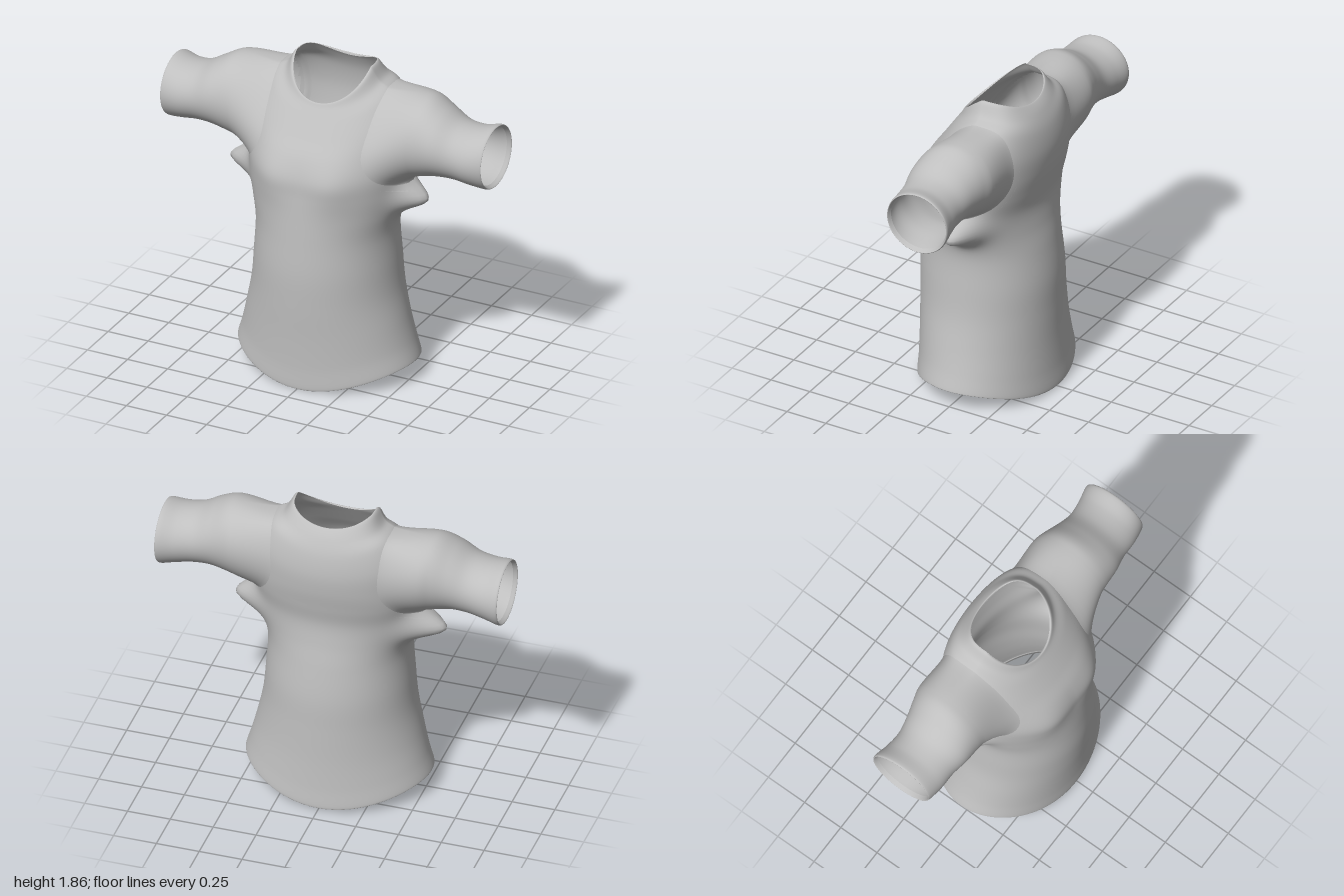
import * as THREE from 'three';

const fabric = new THREE.MeshStandardMaterial({ color: 0xbfbfbf, side: THREE.DoubleSide });
fabric.name = 'grey fabric';

// Torso rings, hem to neck: half width, front z, back z, centre z, y at side, y at front, y at back
const TORSO = [
  [0.515, 0.37, -0.385, -0.01, 0.15, 0.04, 0.05],
  [0.535, 0.39, -0.41, -0.01, 0.12, 0.00, 0.01],
  [0.505, 0.39, -0.40, -0.01, 0.22, 0.13, 0.13],
  [0.47, 0.395, -0.39, 0, 0.36, 0.30, 0.30],
  [0.435, 0.405, -0.385, 0, 0.53, 0.50, 0.50],
  [0.418, 0.41, -0.38, 0, 0.71, 0.70, 0.70],
  [0.408, 0.40, -0.355, 0, 0.90, 0.90, 0.90],
  [0.43, 0.39, -0.33, 0, 1.05, 1.05, 1.05],
  [0.45, 0.38, -0.32, 0, 1.19, 1.18, 1.18],
  [0.46, 0.37, -0.34, -0.01, 1.32, 1.29, 1.30],
  [0.45, 0.33, -0.36, -0.03, 1.45, 1.40, 1.42],
  [0.43, 0.265, -0.365, -0.05, 1.60, 1.50, 1.54],
  [0.36, 0.205, -0.345, -0.07, 1.735, 1.59, 1.66],
  [0.285, 0.165, -0.305, -0.07, 1.785, 1.65, 1.75],
  [0.245, 0.15, -0.265, -0.06, 1.85, 1.675, 1.80],
  [0.23, 0.14, -0.255, -0.06, 1.86, 1.67, 1.79],
];
const LAST_RING = TORSO.length - 1;

// Sleeve rings, upper arm to cuff: x, bottom y, top y, back z, front z, backward lean
const SLEEVE = [
  [0.54, 1.27, 1.757, -0.305, 0.16, 0.10],
  [0.61, 1.29, 1.75, -0.288, 0.155, 0.07],
  [0.70, 1.31, 1.705, -0.265, 0.15, 0.03],
  [0.80, 1.31, 1.65, -0.25, 0.13, 0],
  [0.90, 1.295, 1.635, -0.262, 0.125, 0],
  [0.99, 1.28, 1.65, -0.28, 0.11, 0],
  [1.00, 1.285, 1.645, -0.275, 0.105, 0],
  [0.975, 1.30, 1.635, -0.262, 0.095, 0],
];

// Armhole, an oval on the torso: middle ring, reach in rings, reach in radians
const ARMHOLE = { ring: 10.3, rings: 2, angle: 0.8 };

// Catmull-Rom blend of every column of the torso table at a fractional ring
function torsoRing(f) {
  const i = Math.min(Math.floor(f), LAST_RING - 1);
  const u = f - i;
  const row = (k) => TORSO[THREE.MathUtils.clamp(k, 0, LAST_RING)];
  return row(i).map((p1, c) => {
    const p0 = row(i - 1)[c], p2 = row(i + 1)[c], p3 = row(i + 2)[c];
    return 0.5 * (2 * p1 + (p2 - p0) * u + (2 * p0 - 5 * p1 + 4 * p2 - p3) * u * u
      + (3 * p1 - p0 - 3 * p2 + p3) * u * u * u);
  });
}

function torsoPoint(f, angle) {
  const [w, front, back, cz, ySide, yFront, yBack] = torsoRing(f);
  const s = Math.sin(angle);
  const depth = Math.abs(s);
  let x = w * Math.cos(angle);
  let y, z;
  if (s > 0) {
    y = ySide + (yFront - ySide) * Math.pow(depth, ySide > 1 ? 1.2 : 2.5);
    // soft swell on each side of the chest
    const swell = Math.exp(-(((Math.abs(x) - 0.2) / 0.13) ** 2) - ((y - 1.27) / 0.15) ** 2);
    z = cz + (front - cz) * depth + 0.025 * swell;
  } else {
    // the back gets broader and flatter towards the shoulders
    const fullness = 1 - 0.4 * THREE.MathUtils.smoothstep(ySide, 0.9, 1.4);
    y = ySide + (yBack - ySide) * Math.pow(depth, 2.5);
    z = cz + (back - cz) * Math.pow(depth, fullness);
  }
  // bunched cloth under each arm
  const bunch = Math.exp(-(((y - 1.14) / 0.085) ** 2) - ((z + 0.05) / 0.11) ** 2);
  x += bunch * (x > 0 ? 0.155 : -0.195);
  y -= bunch * 0.02;
  return new THREE.Vector3(x, y, z);
}

function sleevePoint([x, bottom, top, back, front, lean], angle, side) {
  const up = (Math.sin(angle) * (top - bottom)) / 2;
  const z = (front + back) / 2 + (Math.cos(angle) * (front - back)) / 2 - lean * up;
  return new THREE.Vector3(side * x, (top + bottom) / 2 + up, z);
}

// Point on the torso on the armhole oval, enlarged by scale
function armholePoint(angle, scale, side) {
  const around = ARMHOLE.angle * scale * Math.cos(angle);
  const f = ARMHOLE.ring + ARMHOLE.rings * scale * Math.sin(angle);
  return torsoPoint(f, side > 0 ? around : Math.PI - around);
}

function insideArmhole(f, angle) {
  const around = Math.asin(Math.abs(Math.sin(angle)));
  return Math.hypot(around / ARMHOLE.angle, (f - ARMHOLE.ring) / ARMHOLE.rings) < 0.93;
}

// Closed tube from columns of points, leaving out the faces that skip() rejects
function tube(columns, flip, skip = () => false) {
  const segments = columns.length;
  const rows = columns[0].length;
  const index = [];
  for (let j = 0; j < segments; j++) {
    for (let i = 0; i < rows - 1; i++) {
      if (skip(i + 0.5, j + 0.5)) continue;
      const a = j * rows + i, b = ((j + 1) % segments) * rows + i;
      if (flip) index.push(a, b, a + 1, b, b + 1, a + 1);
      else index.push(a, a + 1, b, b, a + 1, b + 1);
    }
  }
  const geometry = new THREE.BufferGeometry().setFromPoints(columns.flat());
  geometry.setIndex(index);
  geometry.computeVertexNormals();
  return geometry;
}

function torsoGeometry() {
  const segments = 112, perRing = 7;
  const turn = (j) => (j / segments) * Math.PI * 2;
  const columns = Array.from({ length: segments }, (_, j) =>
    Array.from({ length: LAST_RING * perRing + 1 }, (_, i) => torsoPoint(i / perRing, turn(j))));
  return tube(columns, false, (i, j) => insideArmhole(i / perRing, turn(j)));
}

// The sleeve grows smoothly out of the torso wall around the armhole
function sleeveGeometry(side) {
  const segments = 72;
  const columns = Array.from({ length: segments }, (_, j) => {
    const angle = (j / segments) * Math.PI * 2;
    const path = [1.14, 1].map((scale) => armholePoint(angle, scale, side));
    path.push(...SLEEVE.map((ring) => sleevePoint(ring, angle, side)));
    return new THREE.CatmullRomCurve3(path).getPoints((path.length - 1) * 6);
  });
  return tube(columns, side < 0);
}

export function createModel() {
  const shirt = new THREE.Group();
  shirt.name = 'shirt';
  const add = (name, geometry) => {
    const mesh = new THREE.Mesh(geometry, fabric);
    mesh.name = name;
    shirt.add(mesh);
  };
  add('torso', torsoGeometry());
  add('leftSleeve', sleeveGeometry(1));
  add('rightSleeve', sleeveGeometry(-1));
  return shirt;
}
